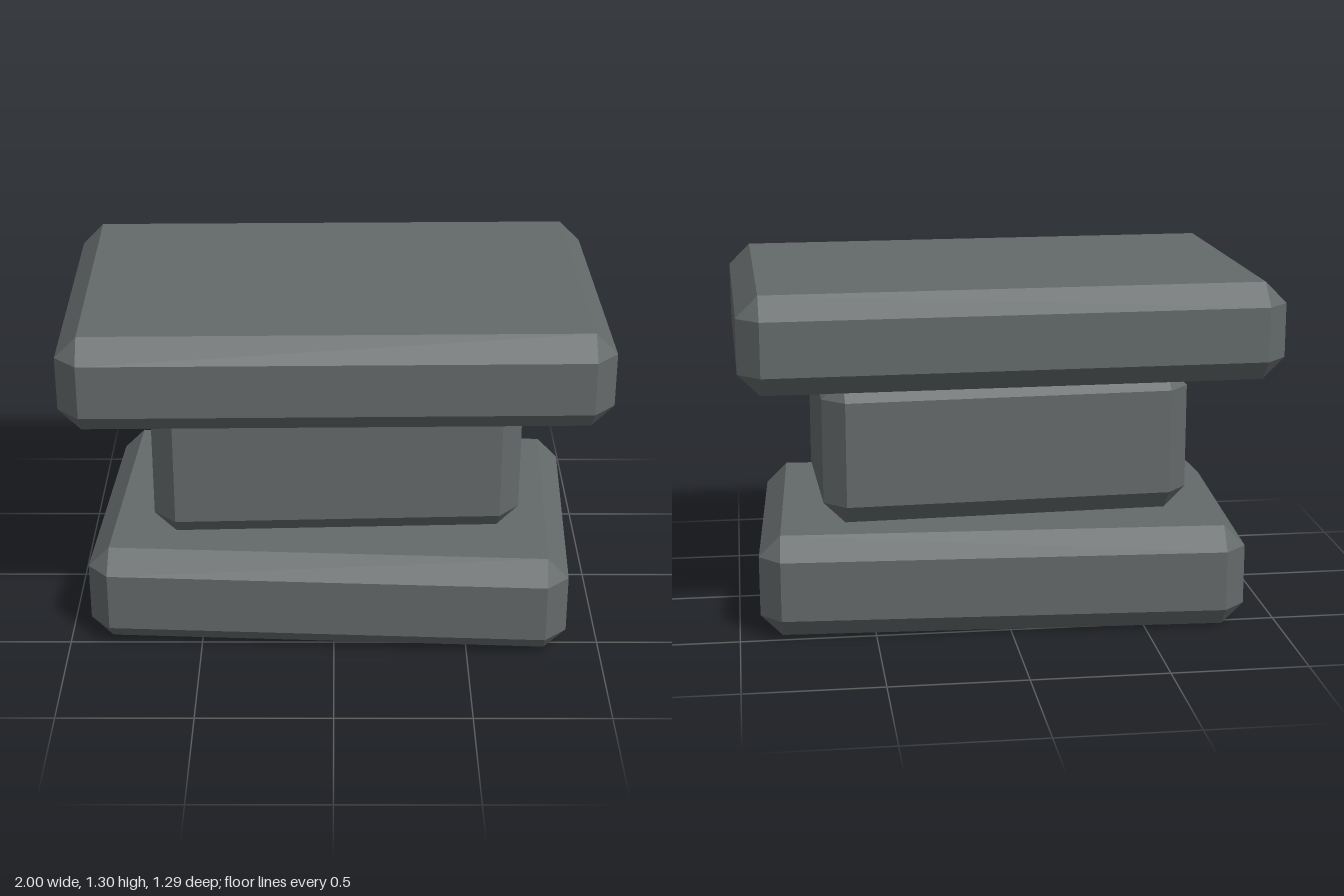
import * as THREE from 'three';
import { ConvexGeometry } from 'three/addons/geometries/ConvexGeometry.js';

const CHAMFER = 0.08;

// Block with every edge cut at 45 degrees and a triangle at each corner
function chamferedBlock(halfW, halfH, halfD) {
  const points = [];
  for (const sx of [-1, 1]) for (const sy of [-1, 1]) for (const sz of [-1, 1]) {
    for (let axis = 0; axis < 3; axis++) {
      const [x, y, z] = [halfW, halfH, halfD].map((h, i) => (i === axis ? h : h - CHAMFER));
      points.push(new THREE.Vector3(sx * x, sy * y, sz * z));
    }
  }
  return new ConvexGeometry(points);
}

export function createModel() {
  const model = new THREE.Group();
  model.name = 'stonePedestal';

  const stone = new THREE.MeshStandardMaterial({ color: 0x646969 });
  stone.name = 'grey stone';

  // Stacked blocks, each turned slightly out of line: bottom, top, half width, half depth, turn
  const blocks = [
    ['baseSlab', 0, 0.385, 0.9, 0.57, -0.05],
    ['middleBlock', 0.385, 0.94, 0.69, 0.372, 0.04],
    ['topSlab', 0.94, 1.3, 0.99, 0.63, 0.0175],
  ];
  for (const [name, bottom, top, halfW, halfD, turn] of blocks) {
    const mesh = new THREE.Mesh(chamferedBlock(halfW, (top - bottom) / 2, halfD), stone);
    mesh.name = name;
    mesh.position.y = (bottom + top) / 2;
    mesh.rotation.y = turn;
    model.add(mesh);
  }
  return model;
}
